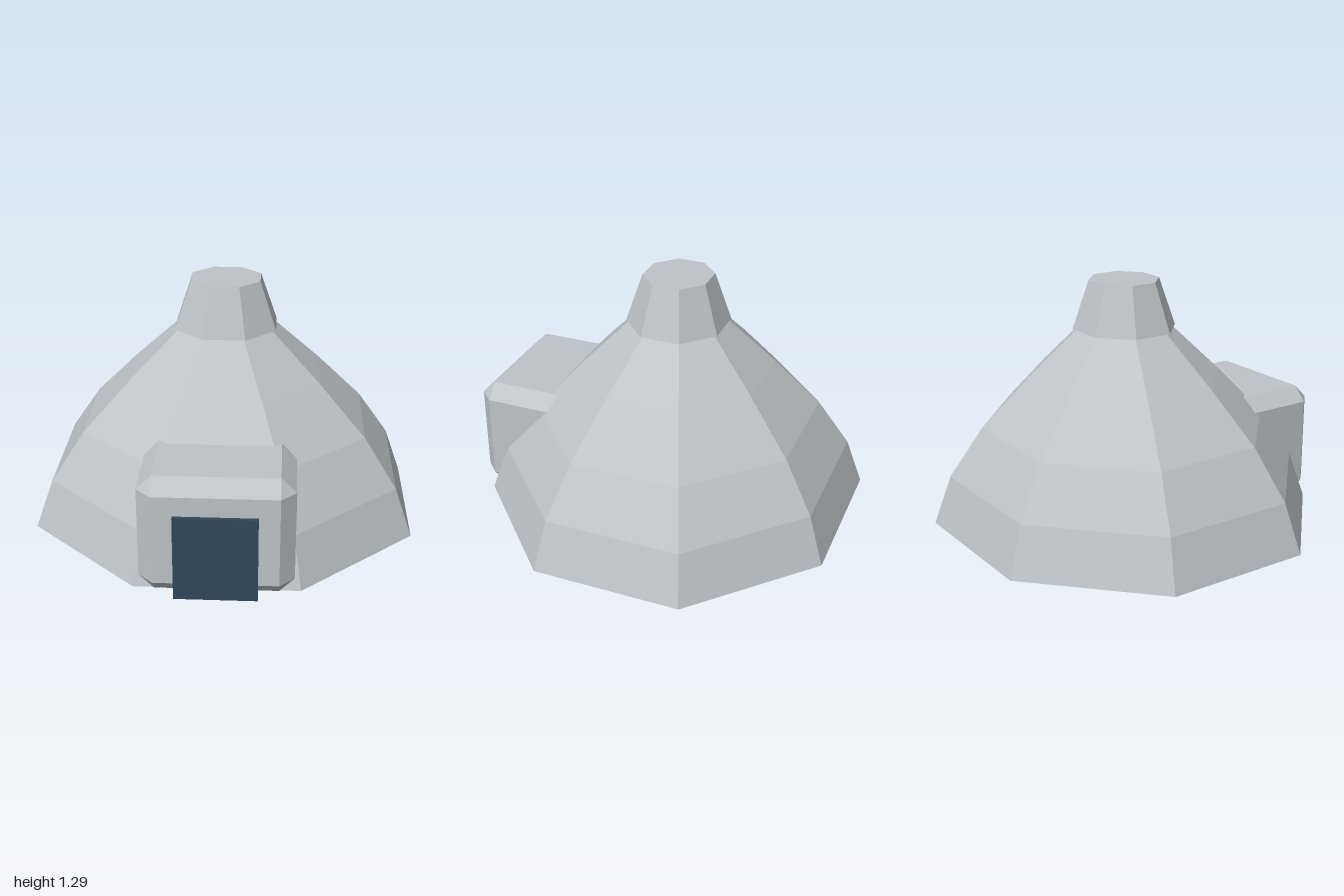
import * as THREE from 'three';
import { ConvexGeometry } from 'three/addons/geometries/ConvexGeometry.js';

const shell = new THREE.MeshStandardMaterial({ color: 0xbdc3c7 });
shell.name = 'pale grey shell';
const dark = new THREE.MeshStandardMaterial({ color: 0x32475b });
dark.name = 'dark blue door';

const CENTRE_Z = -0.05;
const DEPTH_SCALE = 0.95;

// Closed eight-sided solid from [half width across flats, height] pairs, bottom to top
function octagonal(profile) {
  const points = profile.map(([r, y]) => new THREE.Vector2(r / Math.cos(Math.PI / 8), y));
  points.unshift(new THREE.Vector2(0, profile[0][1]));
  points.push(new THREE.Vector2(0, profile[profile.length - 1][1]));
  const geometry = new THREE.LatheGeometry(points, 8)
    .rotateY(Math.PI / 8)
    .scale(1, 1, DEPTH_SCALE)
    .translate(0, 0, CENTRE_Z)
    .toNonIndexed();
  geometry.computeVertexNormals();
  return geometry;
}

// Box with every edge and corner chamfered
function chamferedBox(w, h, d, c) {
  const points = [];
  for (const sx of [-1, 1]) for (const sy of [-1, 1]) for (const sz of [-1, 1]) {
    for (let axis = 0; axis < 3; axis++) {
      const cut = [c, c, c];
      cut[axis] = 0;
      points.push(new THREE.Vector3(
        sx * (w / 2 - cut[0]), sy * (h / 2 - cut[1]), sz * (d / 2 - cut[2])));
    }
  }
  return new ConvexGeometry(points);
}

export function createModel() {
  const group = new THREE.Group();
  group.name = 'domeHut';
  const add = (name, geometry, material) => {
    const mesh = new THREE.Mesh(geometry, material);
    mesh.name = name;
    group.add(mesh);
    return mesh;
  };

  // Faceted dome
  add('dome', octagonal([[1, 0], [0.91, 0.26], [0.74, 0.52], [0.5, 0.78], [0.24, 1.04]]), shell);

  // Tapered cap overhanging the top of the dome
  add('roofCap', octagonal([[0.265, 1.037], [0.18, 1.295]]), shell);

  // Entrance porch, running back into the dome
  add('porch', chamferedBox(0.765, 0.62, 0.78, 0.075), shell).position.set(0, 0.31, 0.59);

  // Door panel
  add('door', new THREE.BoxGeometry(0.41, 0.445, 0.035), dark).position.set(0, 0.2225, 0.9825);

  return group;
}
